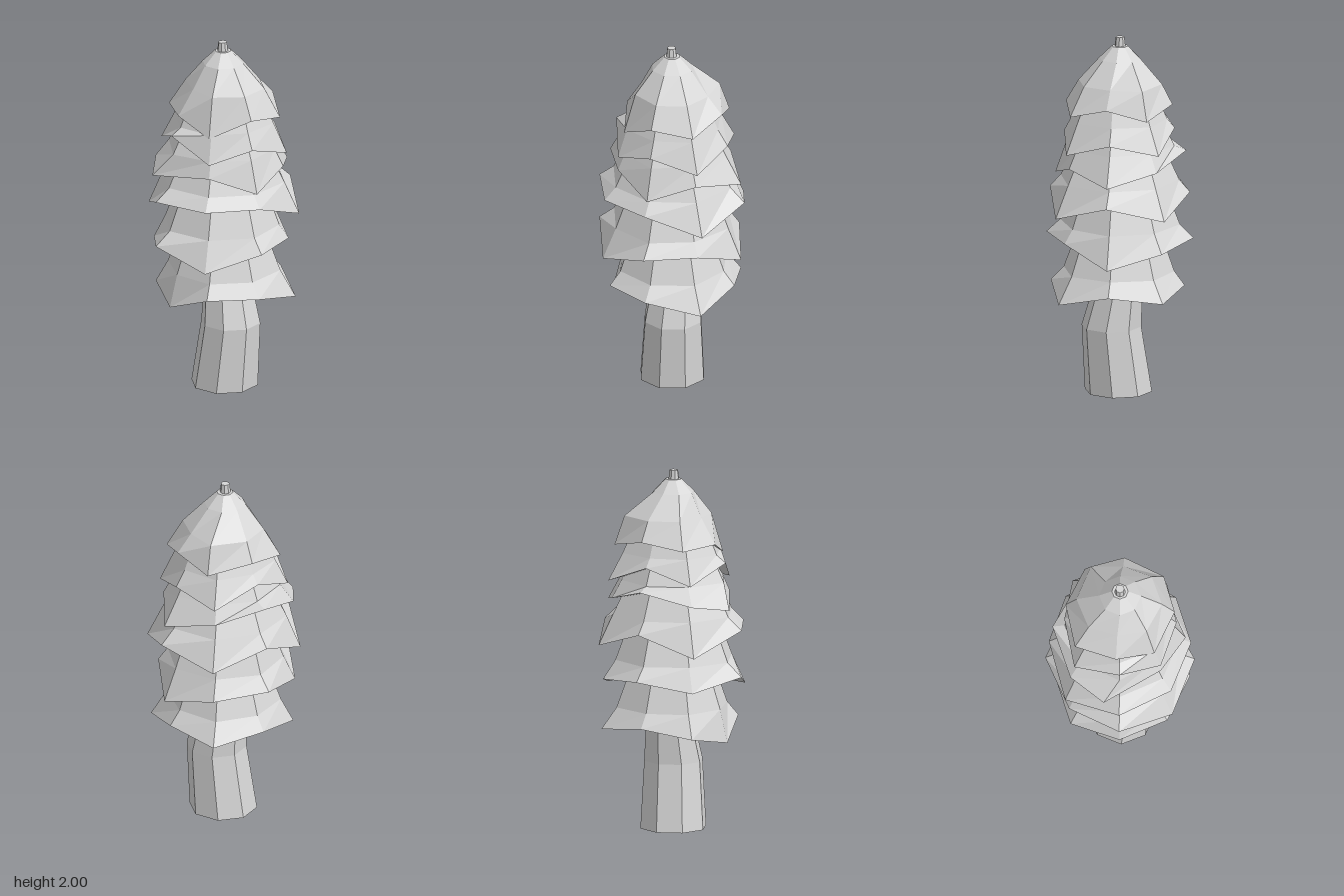
import * as THREE from 'three';

const SIDES = 8;
const lightGrey = new THREE.MeshStandardMaterial({ color: 0xd6d6d6, flatShading: true });
lightGrey.name = 'light grey';

const average = (list) => list.reduce((s, v) => s + v, 0) / list.length;
const at = (value, i) => (Array.isArray(value) ? value[i] : value);

// Ring of eight points; corner 0 is at +x, corner 2 at +z; turn shifts corners in degrees
function ring(radius, height, { cx = 0, cz = 0, turn = 0 } = {}) {
  return Array.from({ length: SIDES }, (_, i) => {
    const a = THREE.MathUtils.degToRad((i * 360) / SIDES + at(turn, i));
    const r = at(radius, i);
    return new THREE.Vector3(cx + r * Math.cos(a), at(height, i), cz + r * Math.sin(a));
  });
}

// Closed skin through rings listed from bottom to top; hollow lifts the middle of the underside
function loft(name, rings, hollow = 0) {
  const pts = [];
  const middle = (r) => r.reduce((s, p) => s.add(p), new THREE.Vector3()).divideScalar(SIDES);
  const low = rings[0], high = rings[rings.length - 1];
  const lowMid = middle(low), highMid = middle(high);
  lowMid.y += hollow;
  for (let i = 0; i < SIDES; i++) {
    const j = (i + 1) % SIDES;
    pts.push(low[i], low[j], lowMid, high[j], high[i], highMid);
    for (let k = 0; k + 1 < rings.length; k++) {
      const a = rings[k], b = rings[k + 1];
      pts.push(a[j], a[i], b[i], a[j], b[i], b[j]);
    }
  }
  const geometry = new THREE.BufferGeometry().setFromPoints(pts);
  geometry.computeVertexNormals();
  const mesh = new THREE.Mesh(geometry, lightGrey);
  mesh.name = name;
  return mesh;
}

// Ragged crown at the top
const crown = {
  r: [0.305, 0.325, 0.30, 0.28, 0.275, 0.315, 0.30, 0.325],
  y: [1.655, 1.59, 1.63, 1.53, 1.61, 1.60, 1.64, 1.59],
  mid: [0.22, 0.235, 0.23, 0.215, 0.185, 0.22, 0.24, 0.27],
  turn: [4, 2, 0, 2, 4, 6, 6, 8],
};

// Skirts below it, from the top down: rim radius and height at each corner, height of the skirt
const skirts = [
  { r: [0.33, 0.36, 0.31, 0.32, 0.33, 0.35, 0.305, 0.37], tall: 0.26,
    y: [1.46, 1.38, 1.46, 1.39, 1.51, 1.41, 1.50, 1.40] },
  { r: [0.41, 0.34, 0.36, 0.32, 0.41, 0.38, 0.37, 0.35], tall: 0.26,
    y: [1.24, 1.30, 1.22, 1.31, 1.265, 1.30, 1.375, 1.30], turn: [0, 0, 0, 0, 12, 0, 0, 0] },
  { r: [0.43, 0.43, 0.39, 0.40, 0.43, 0.42, 0.39, 0.425], tall: 0.28,
    y: [1.13, 1.03, 1.14, 1.14, 1.14, 1.02, 1.14, 1.04] },
  { r: [0.41, 0.37, 0.41, 0.41, 0.43, 0.39, 0.41, 0.40], tall: 0.32,
    y: [0.775, 0.88, 0.88, 0.785, 0.88, 0.82, 0.88, 0.85] },
  { r: [0.37, 0.41, 0.385, 0.37, 0.34, 0.38, 0.36, 0.41], tall: 0.32,
    y: [0.61, 0.54, 0.61, 0.61, 0.505, 0.56, 0.61, 0.57] },
];

export function createModel() {
  const group = new THREE.Group();
  group.name = 'tree';

  // Crooked trunk
  group.add(loft('trunk', [
    ring(0.187, 0, { cx: 0.005, cz: 0.008 }),
    ring(0.166, 0.37, { cx: 0.024, cz: 0.043 }),
    ring(0.135, 0.6, { cx: 0.025, cz: 0.005 }),
    ring(0.12, 0.75, { cx: 0.02 }),
  ]));

  // Crown with three bends
  const { r, y, mid, turn } = crown;
  group.add(loft('crown', [
    ring(r, y, { turn }), ring(mid, 1.75, { turn }), ring(0.115, 1.88), ring(0.045, 1.95),
  ], 0.04));

  // Overlapping foliage skirts, evening out toward their tops
  skirts.forEach((s, n) => {
    const meanR = average(s.r), meanY = average(s.y);
    const inner = (f) => s.r.map((v) => ((v + meanR) / 2) * f);
    group.add(loft('foliageSkirt' + (n + 1), [
      ring(s.r, s.y, { turn: s.turn }),
      ring(inner(0.82), meanY + 0.11),
      ring(inner(0.62), meanY + s.tall),
    ], 0.04));
  });

  // Small stub at the peak
  group.add(loft('tip', [ring(0.032, 1.93, { cx: -0.003 }), ring(0.024, 2, { cx: -0.003 })]));
  return group;
}
